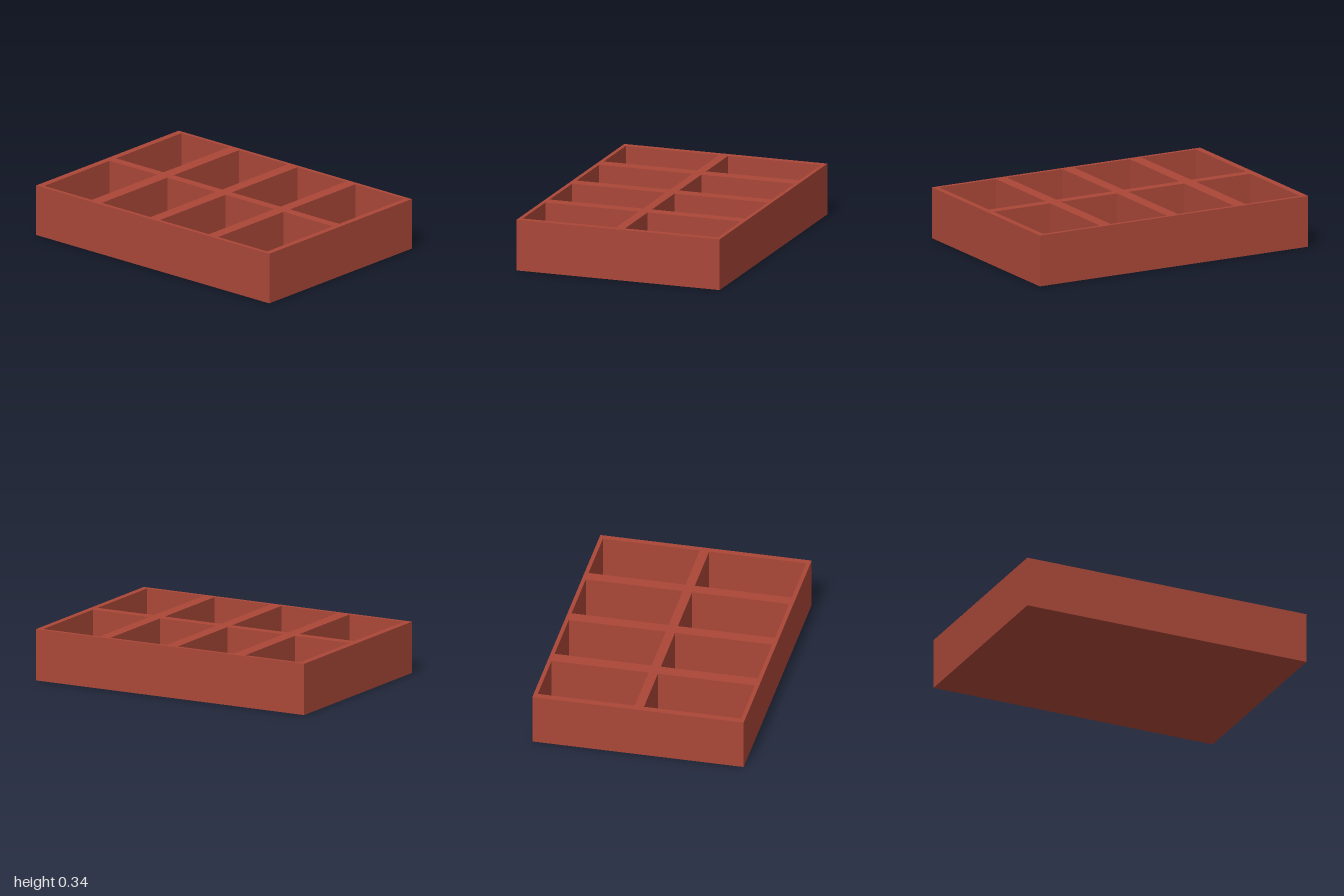
import * as THREE from 'three';

const WIDTH = 2, DEPTH = 1.4, HEIGHT = 0.34, FLOOR = 0.05;

// Counter-clockwise rectangle in plan, given by its x and z limits
function rectangle(PathType, x0, x1, z0, z1) {
  return new PathType([[x0, z1], [x1, z1], [x1, z0], [x0, z0]]
    .map(([x, z]) => new THREE.Vector2(x, -z)));
}

export function createModel() {
  const group = new THREE.Group();
  group.name = 'compartmentTray';
  const clay = new THREE.MeshStandardMaterial({ color: 0xaa4738 });
  clay.name = 'brick red';

  // Outer walls and dividers: one block pierced by two rows of four cells
  const columns = [[-0.955, -0.547], [-0.46, -0.043], [0.04, 0.458], [0.538, 0.96]];
  const rows = [[-0.674, -0.032], [0.03, 0.673]];
  const outline = rectangle(THREE.Shape, -WIDTH / 2, WIDTH / 2, -DEPTH / 2, DEPTH / 2);
  for (const [z0, z1] of rows) {
    for (const [x0, x1] of columns) outline.holes.push(rectangle(THREE.Path, x0, x1, z0, z1));
  }
  const wallGeometry = new THREE.ExtrudeGeometry(outline, { depth: HEIGHT - FLOOR, bevelEnabled: false });
  wallGeometry.rotateX(-Math.PI / 2);
  const walls = new THREE.Mesh(wallGeometry, clay);
  walls.name = 'wallsAndDividers';
  walls.position.y = FLOOR;
  group.add(walls);

  // Solid floor closing the cells from below
  const floor = new THREE.Mesh(new THREE.BoxGeometry(WIDTH, FLOOR, DEPTH), clay);
  floor.name = 'floor';
  floor.position.y = FLOOR / 2;
  group.add(floor);

  return group;
}
